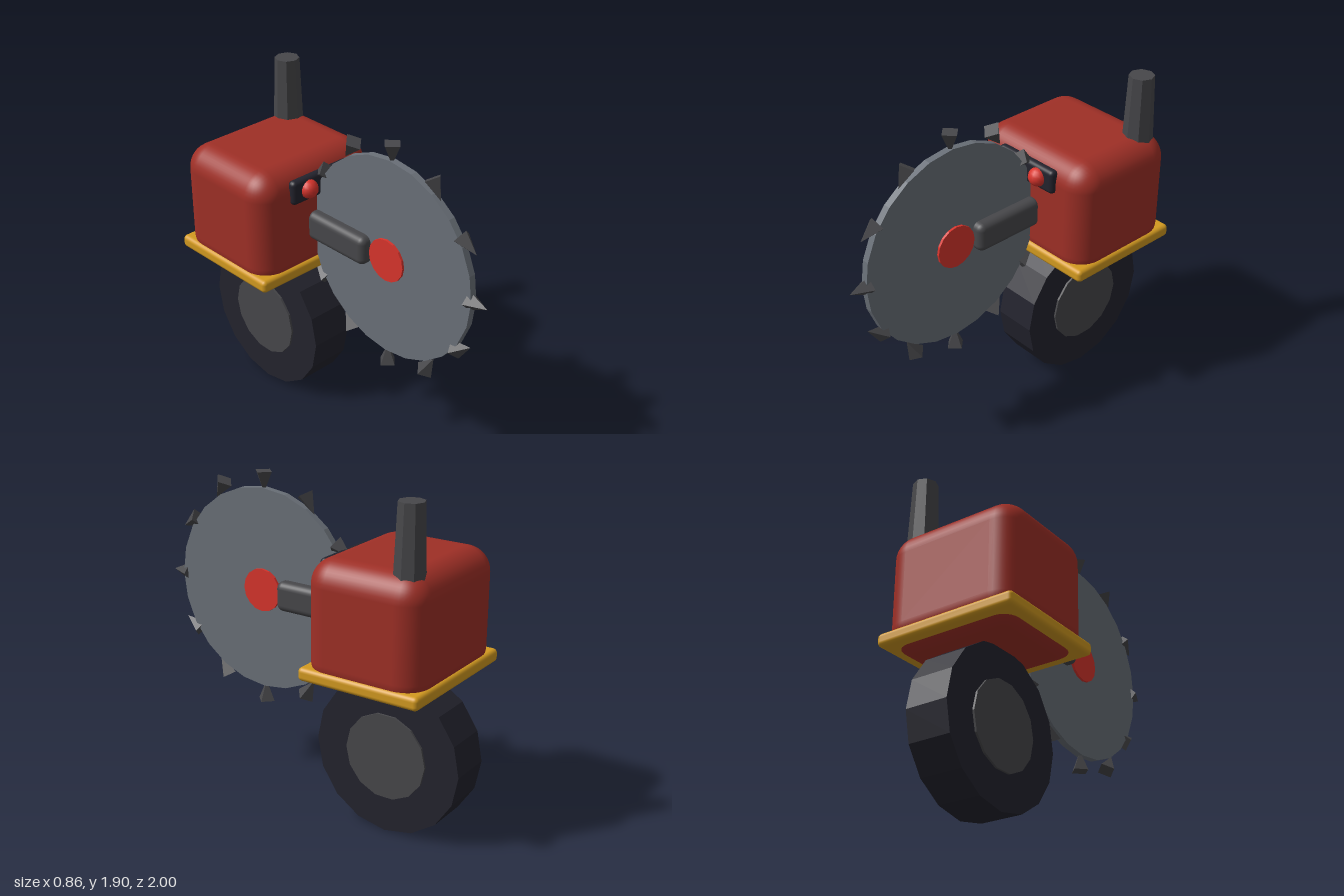
import * as THREE from 'three';
import { RoundedBoxGeometry } from 'three/addons/geometries/RoundedBoxGeometry.js';

function paint(name, color) {
  const m = new THREE.MeshStandardMaterial({ color });
  m.name = name;
  return m;
}

// Hard facets for low-poly parts
function faceted(geometry) {
  const g = geometry.toNonIndexed();
  g.computeVertexNormals();
  return g;
}

export function createModel() {
  const bodyRed = paint('bodyRed', 0x9e2f26);
  const brightRed = paint('brightRed', 0xd8342c);
  const yellow = paint('yellow', 0xd39a20);
  const rubber = paint('rubber', 0x23232d);
  const darkGrey = paint('darkGrey', 0x47474a);
  const steel = paint('steel', 0x6a7078);

  const model = new THREE.Group();
  model.name = 'sawRobot';

  function add(parent, name, geometry, material, x, y, z) {
    const mesh = new THREE.Mesh(geometry, material);
    mesh.name = name;
    mesh.position.set(x, y, z);
    parent.add(mesh);
    return mesh;
  }
  const box = (w, h, d, r, seg = 3) => new RoundedBoxGeometry(w, h, d, seg, r);
  // Disc with its axle along x and a corner at the bottom
  const disc = (r, width, sides) =>
    faceted(new THREE.CylinderGeometry(r, r, width, sides).rotateZ(Math.PI / 2));

  // Single wheel
  add(model, 'tire', disc(0.44, 0.25, 16), rubber, 0, 0.44, -0.56);
  add(model, 'wheelHub', disc(0.245, 0.274, 14), darkGrey, 0, 0.445, -0.56);

  // Body and bumper skirt
  add(model, 'body', box(0.83, 0.69, 0.69, 0.14, 5), bodyRed, 0, 1.207, -0.555);
  add(model, 'skirt', box(0.855, 0.075, 0.72, 0.025), yellow, 0, 0.93, -0.555);

  // Exhaust pipe
  add(model, 'exhaust', faceted(new THREE.CylinderGeometry(0.07, 0.085, 0.4, 8)),
    darkGrey, 0.275, 1.7, -0.765);

  // Visor with two eyes
  add(model, 'visor', box(0.42, 0.14, 0.055, 0.025), rubber, 0, 1.43, -0.208);
  for (const side of [1, -1]) {
    add(model, side > 0 ? 'leftEye' : 'rightEye', new THREE.SphereGeometry(0.054, 14, 10),
      brightRed, side * 0.1, 1.432, -0.185);
  }

  // Saw arm
  add(model, 'sawArm', box(0.165, 0.17, 0.44, 0.04), darkGrey, 0, 1.18, -0.015);

  // Saw blade with a ring of teeth
  const saw = new THREE.Group();
  saw.name = 'saw';
  saw.position.set(0, 1.18, 0.33);
  model.add(saw);
  add(saw, 'blade', disc(0.58, 0.04, 24), steel, 0, 0, 0);
  add(saw, 'bladeHub', disc(0.123, 0.068, 16), brightRed, 0, 0, 0);

  const tooth = faceted(new THREE.ConeGeometry(0.055, 0.12, 4));
  for (let i = 0; i < 12; i++) {
    const a = (i / 12) * Math.PI * 2;
    const t = add(saw, 'tooth', tooth, darkGrey, 0, 0.61 * Math.cos(a), 0.61 * Math.sin(a));
    t.rotation.x = Math.PI - a;
  }

  return model;
}
